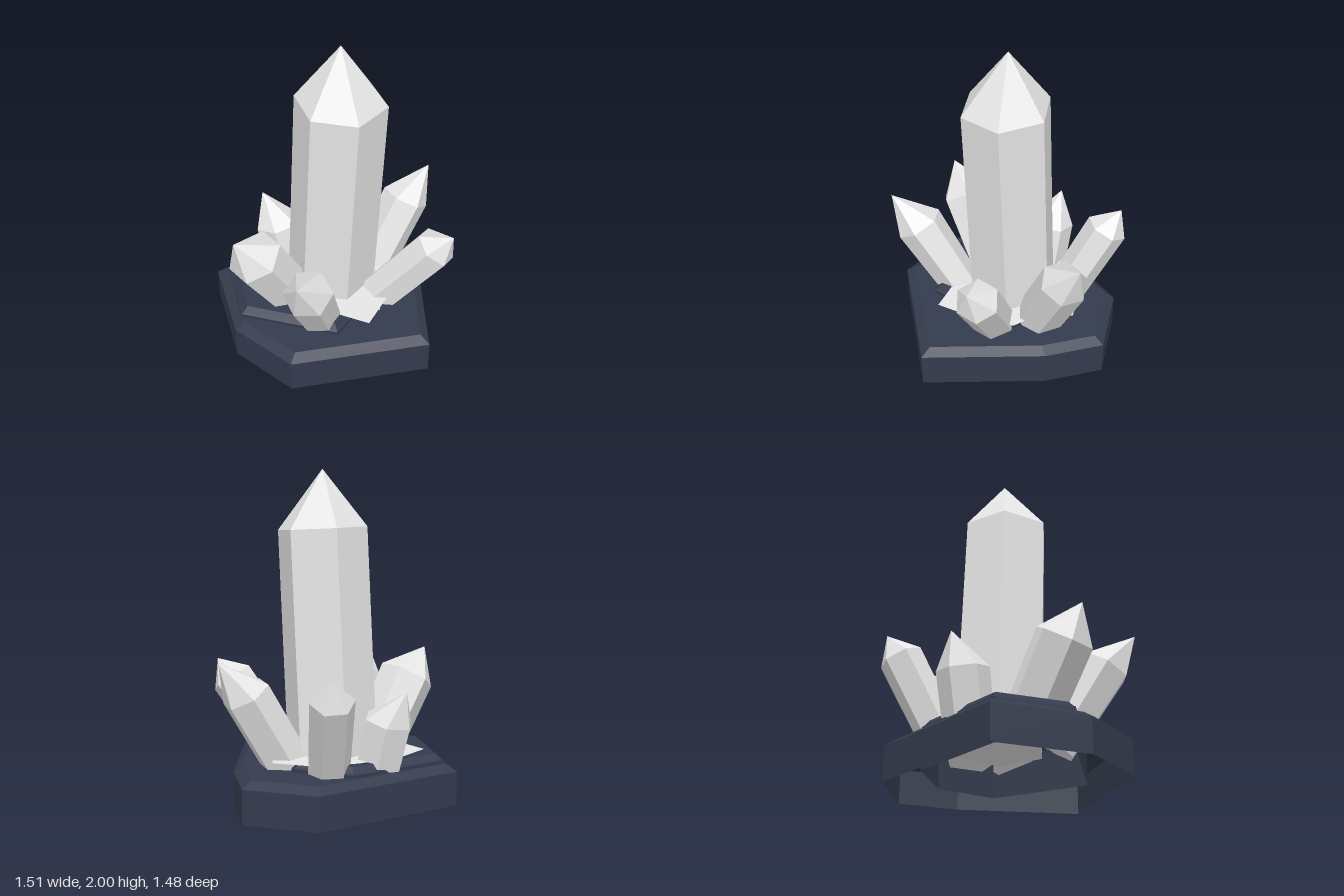
import * as THREE from 'three';

const stone = new THREE.MeshStandardMaterial({ color: 0x343b4d, flatShading: true, side: THREE.DoubleSide });
const quartz = new THREE.MeshStandardMaterial({ color: 0xe6e6e6, flatShading: true, side: THREE.DoubleSide });
stone.name = 'slateStone';
quartz.name = 'paleQuartz';

// Open shell: an irregular outline [x, z] repeated at rows of [scale, y]
function shell(outline, rows) {
  const n = outline.length;
  const cx = outline.reduce((s, p) => s + p[0], 0) / n;
  const cz = outline.reduce((s, p) => s + p[1], 0) / n;
  const at = ([s, y], i) => {
    const [x, z] = outline[i % n];
    return [cx + (x - cx) * s, y, cz + (z - cz) * s];
  };
  const pos = [];
  for (let r = 0; r < rows.length - 1; r++) {
    for (let i = 0; i < n; i++) {
      const a = at(rows[r], i), b = at(rows[r], i + 1);
      const c = at(rows[r + 1], i), d = at(rows[r + 1], i + 1);
      pos.push(...a, ...c, ...b, ...b, ...c, ...d);
    }
  }
  const g = new THREE.BufferGeometry();
  g.setAttribute('position', new THREE.Float32BufferAttribute(pos, 3));
  g.computeVertexNormals();
  return g;
}

// Six-sided prism from base to shoulder, closed by a point that may sit off its axis
function crystal(name, base, shoulder, tip, radius, twist = 0, baseRatio = 0.95) {
  const from = new THREE.Vector3(...base);
  const dir = new THREE.Vector3(...shoulder).sub(from);
  const len = dir.length();
  const profile = [[0, 0], [radius * baseRatio, 0], [radius, len], [0, len + 0.1]]
    .map(([x, y]) => new THREE.Vector2(x, y));
  const g = new THREE.LatheGeometry(profile, 6);
  g.rotateY(twist);
  const mesh = new THREE.Mesh(g, quartz);
  mesh.name = name;
  mesh.position.copy(from);
  mesh.quaternion.setFromUnitVectors(new THREE.Vector3(0, 1, 0), dir.normalize());
  const apex = new THREE.Vector3(...tip).sub(from).applyQuaternion(mesh.quaternion.clone().invert());
  for (let i = 3; i < g.attributes.position.count; i += 4) {
    g.attributes.position.setXYZ(i, apex.x, apex.y, apex.z);
  }
  g.computeVertexNormals();
  return mesh;
}

export function createModel() {
  const group = new THREE.Group();
  group.name = 'crystalCluster';
  const add = (name, geometry, material) => {
    const mesh = new THREE.Mesh(geometry, material);
    mesh.name = name;
    group.add(mesh);
    return mesh;
  };

  // Two hollow, bevelled stone tiers
  add('lowerBase', shell(
    [[0.752, 0.11], [0.145, 0.72], [-0.315, 0.675], [-0.755, 0.31], [-0.4, -0.57], [0.025, -0.74], [0.31, -0.5]],
    [[1, 0], [1, 0.21], [0.91, 0.25], [0.5, 0.25]]), stone);
  add('upperBase', shell(
    [[0.26, 0.39], [-0.33, 0.59], [-0.67, 0.29], [-0.43, -0.3], [-0.08, -0.4], [0.25, -0.22]],
    [[1, 0.02], [1, 0.27], [0.97, 0.28], [0.91, 0.31], [0.45, 0.31]]), stone);

  // Thin ragged sheet of quartz under the cluster
  const sheet = new THREE.Shape([
    [-0.53, 0.3], [-0.28, 0.35], [-0.05, 0.32], [0.2, 0.29], [0.4, 0.25], [0.37, 0],
    [0.29, -0.25], [0.17, -0.3], [0, -0.5], [-0.22, -0.41], [-0.4, -0.2], [-0.52, 0.1],
  ].map(([x, z]) => new THREE.Vector2(x, -z)));
  add('quartzSheet', new THREE.ShapeGeometry(sheet).rotateX(-Math.PI / 2), quartz).position.y = 0.314;

  // Main crystal and the six leaning ones around it
  group.add(
    crystal('mainCrystal', [-0.065, 0.2, -0.01], [0.018, 1.65, -0.006], [0.01, 2, -0.015], 0.274, -0.08, 1.02),
    crystal('rightCrystal', [0.23, 0.2, -0.075], [0.59, 0.7, -0.2], [0.7, 0.815, -0.21], 0.135, 0, 0.98),
    crystal('backRightCrystal', [0.055, 0.2, -0.26], [0.175, 0.705, -0.53], [0.25, 0.9, -0.68], 0.15, 0, 1),
    crystal('frontRightCrystal', [0.07, 0.2, 0.28], [0.17, 0.68, 0.565], [0.22, 0.86, 0.74], 0.152, 0, 0.83),
    crystal('frontLeftCrystal', [-0.185, 0.2, 0.2], [-0.265, 0.71, 0.505], [-0.31, 0.88, 0.64], 0.175, 0.25, 0.92),
    crystal('leftCrystal', [-0.395, 0.2, -0.015], [-0.48, 0.545, -0.015], [-0.605, 0.73, -0.02], 0.15, 0.52, 0.95),
    crystal('backLeftCrystal', [-0.23, 0.2, -0.265], [-0.415, 0.73, -0.475], [-0.47, 0.86, -0.54], 0.13, 0.3),
  );
  return group;
}
